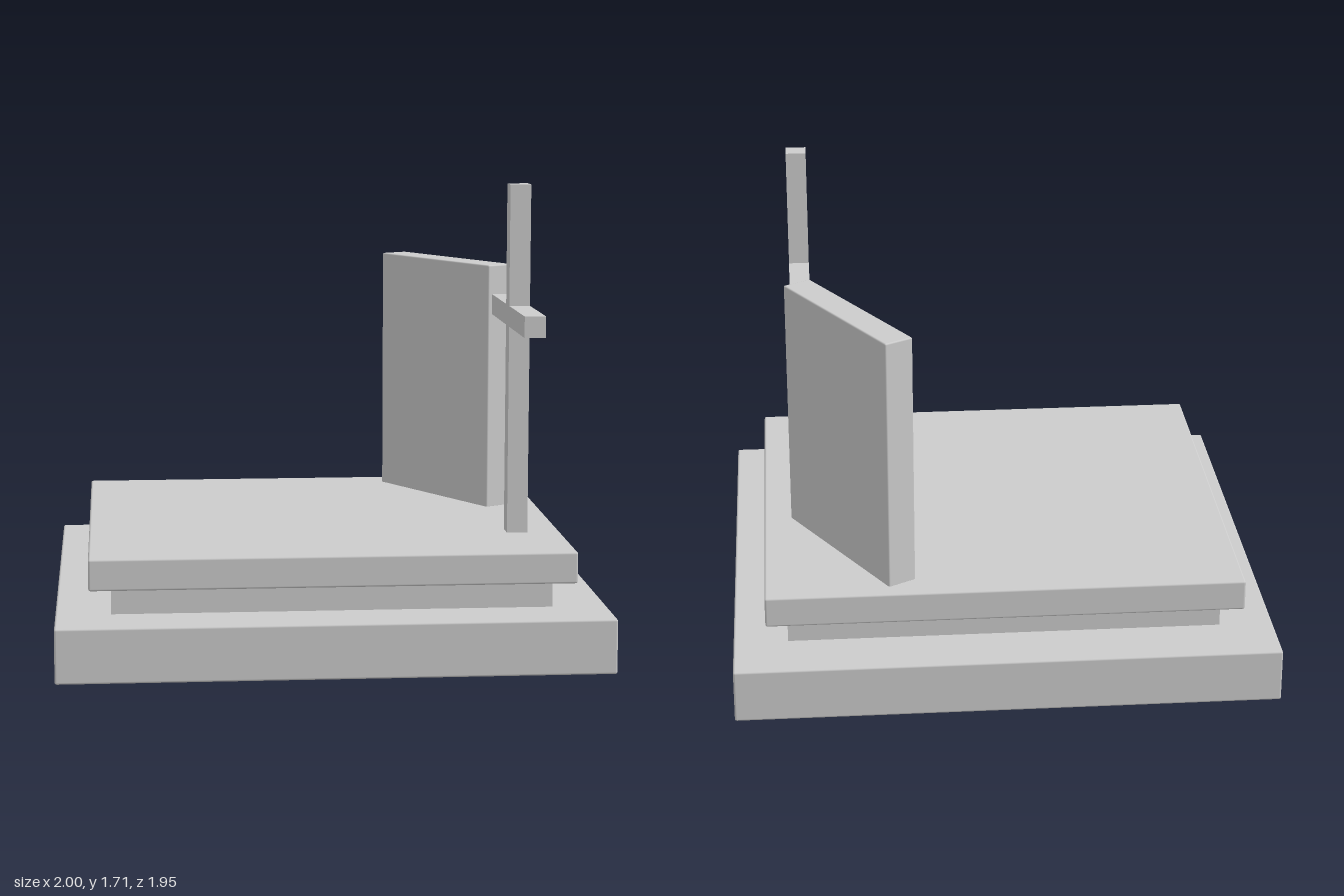
import * as THREE from 'three';
import { RoundedBoxGeometry } from 'three/addons/geometries/RoundedBoxGeometry.js';

const material = new THREE.MeshStandardMaterial({ color: 0xcccccc });

// Block of width w and depth d spanning y0..y1, with an optional softened edge
function block(name, w, d, y0, y1, x = 0, z = 0, bevel = 0) {
  const h = y1 - y0;
  const geometry = bevel
    ? new RoundedBoxGeometry(w, h, d, 2, bevel)
    : new THREE.BoxGeometry(w, h, d);
  const mesh = new THREE.Mesh(geometry, material);
  mesh.name = name;
  mesh.position.set(x, (y0 + y1) / 2, z);
  return mesh;
}

export function createModel() {
  const model = new THREE.Group();
  model.name = 'memorial';

  // Stepped plinth
  const plinth = new THREE.Group();
  plinth.name = 'plinth';
  plinth.add(
    block('base', 2, 1.95, 0, 0.2, 0, 0, 0.008),
    block('recessedStep', 1.6, 1.5, 0.195, 0.305),
    block('topSlab', 1.76, 1.65, 0.3, 0.415, 0, 0, 0.008)
  );

  // Upright tablet, turned 60 degrees
  const tablet = block('tablet', 0.705, 0.115, 0.41, 1.37, 0.552, -0.43, 0.006);
  tablet.rotation.y = -Math.PI / 3;

  // Cross with its arms running front to back
  const cross = new THREE.Group();
  cross.name = 'cross';
  cross.position.set(0.717, 0, 0.4);
  cross.add(
    block('crossPost', 0.077, 0.077, 0.41, 1.715),
    block('crossBar', 0.077, 0.8, 1.19, 1.267)
  );

  model.add(plinth, tablet, cross);
  return model;
}
